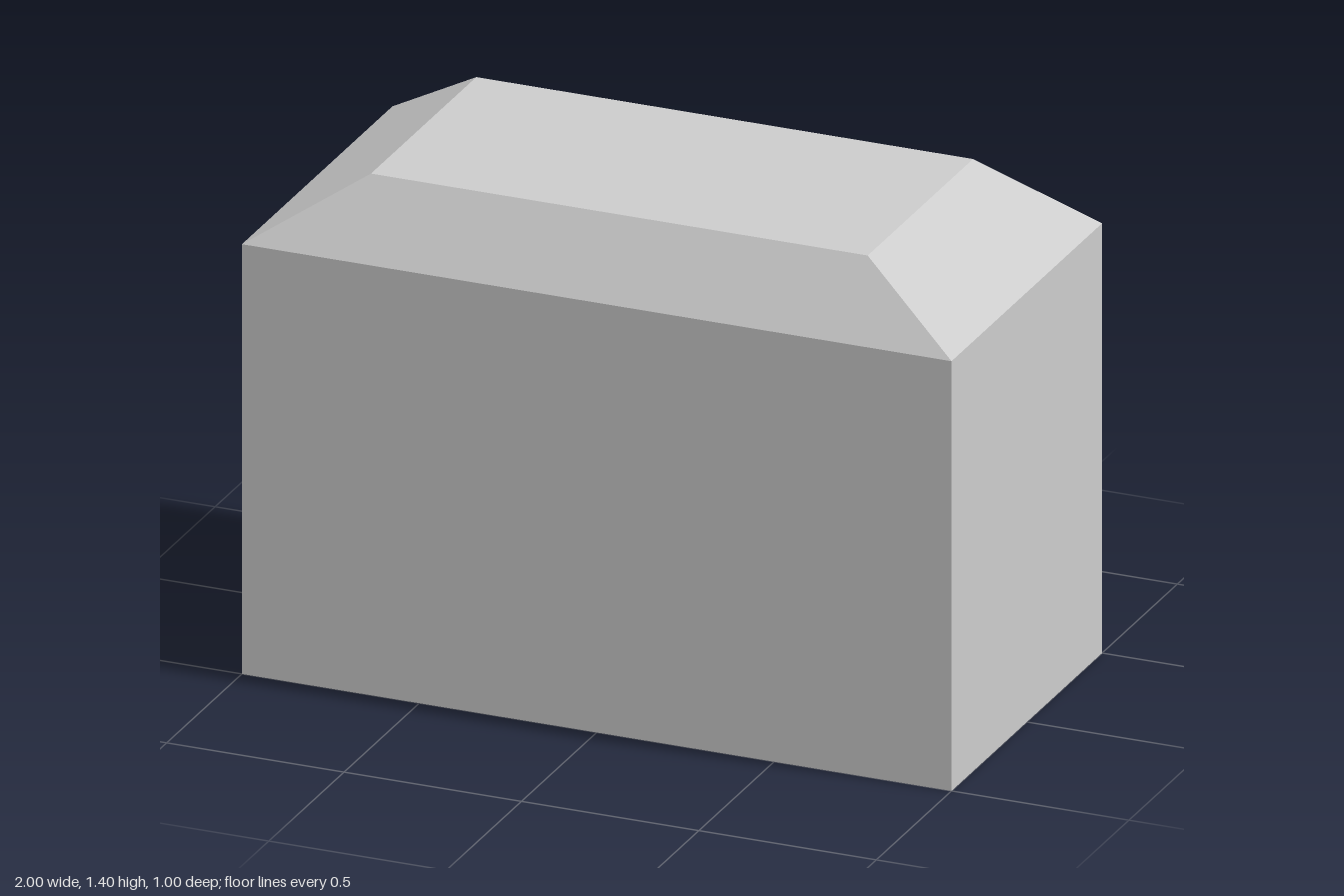
import * as THREE from 'three';

const EAVE = 1.21, TOP = 1.4, DEPTH = 0.02, LIMIT = 0.98;

export function createModel() {
  const group = new THREE.Group();
  const material = new THREE.MeshStandardMaterial({ color: 0xcccccc, flatShading: true });
  const add = (name, geometry) => {
    const mesh = new THREE.Mesh(geometry, material);
    mesh.name = name;
    group.add(mesh);
  };

  // Solid block, stopping short of the back by the depth of the recesses
  const block = new THREE.BoxGeometry(2, EAVE, 1 - DEPTH);
  block.translate(0, EAVE / 2, DEPTH / 2);
  add('body', block);

  // Back wall with three staggered rows of recessed rectangles
  const wall = new THREE.Shape([[-1, 0], [1, 0], [1, EAVE], [-1, EAVE]].map(p => new THREE.Vector2(...p)));
  const height = EAVE / 6;
  for (let row = 0; row < 3; row++) {
    const y = 0.252 + row * EAVE / 4;
    const start = row % 2 ? -0.75 : -1;
    for (let i = 0; i < 4; i++) {
      const x0 = Math.max(start + i * 0.5, -LIMIT);
      const x1 = Math.min(start + i * 0.5 + 0.25, LIMIT);
      wall.holes.push(new THREE.Path([
        new THREE.Vector2(x0, y), new THREE.Vector2(x0, y + height),
        new THREE.Vector2(x1, y + height), new THREE.Vector2(x1, y),
      ]));
    }
  }
  const backWall = new THREE.ExtrudeGeometry(wall, { depth: DEPTH, bevelEnabled: false });
  backWall.translate(0, 0, -0.5);
  add('backWall', backWall);

  // Hipped roof with a flat top: a box whose upper corners move inward
  const roof = new THREE.BoxGeometry(2, TOP - EAVE, 1);
  roof.translate(0, (TOP + EAVE) / 2, 0);
  const pos = roof.attributes.position;
  for (let i = 0; i < pos.count; i++) {
    if (pos.getY(i) > (TOP + EAVE) / 2) {
      pos.setX(i, pos.getX(i) * 0.7);
      pos.setZ(i, pos.getZ(i) * 0.7);
    }
  }
  roof.computeVertexNormals();
  add('roof', roof);

  return group;
}
